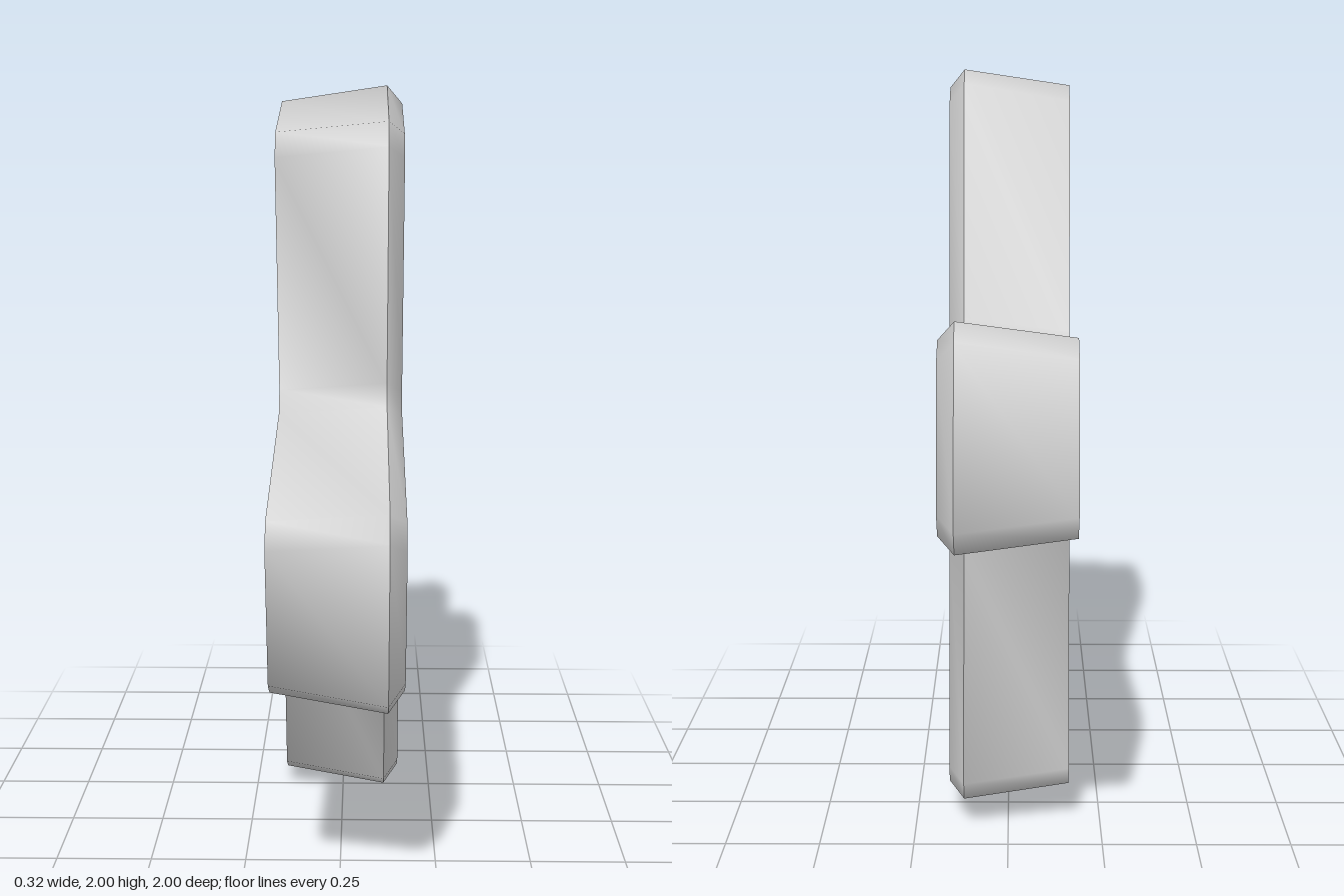
import * as THREE from 'three';
import { toCreasedNormals } from 'three/addons/utils/BufferGeometryUtils.js';

const TILT = THREE.MathUtils.degToRad(12.5);

// Tilted plus-shaped outline, shrunk by d, counter-clockwise seen from +x (across = -z, up = y)
function outline(d) {
  const w = 0.262 - d, l = 0.978 - d, c = 0.05, k = 0.048;
  const arm = [[w, w + k], [w, l - c], [w - c, l], [c - w, l], [-w, l - c], [-w, w + k]];
  const points = [];
  for (let i = 0; i < 4; i++) {
    for (const [s, t] of arm) {
      points.push(new THREE.Vector2(s, t).rotateAround(new THREE.Vector2(), TILT + i * Math.PI / 2));
    }
  }
  return points;
}

// Joins rings of outlines along x and closes both ends
function loftCross(sections) {
  const rings = sections.map(([, d]) => outline(d));
  const n = rings[0].length;
  const positions = [], index = [];
  rings.forEach((ring, i) => {
    for (const p of ring) positions.push(sections[i][0], p.y + 1, -p.x);
  });
  for (let i = 0; i < rings.length - 1; i++) {
    for (let j = 0; j < n; j++) {
      const a = i * n + j, b = i * n + (j + 1) % n;
      index.push(a, b, b + n, a, b + n, a + n);
    }
  }
  const last = (rings.length - 1) * n;
  for (const [a, b, c] of THREE.ShapeUtils.triangulateShape(rings[0], [])) index.push(a, c, b);
  for (const [a, b, c] of THREE.ShapeUtils.triangulateShape(rings[rings.length - 1], [])) {
    index.push(last + a, last + b, last + c);
  }
  const geometry = new THREE.BufferGeometry();
  geometry.setAttribute('position', new THREE.Float32BufferAttribute(positions, 3));
  geometry.setIndex(index);
  return toCreasedNormals(geometry, 0.9);
}

export function createModel() {
  const group = new THREE.Group();
  group.name = 'tiltedCross';

  // Shallow inset back, tapered side walls, bevelled face: [x, inset]
  const cross = new THREE.Mesh(
    loftCross([[-0.15, 0.075], [-0.163, 0.035], [0.118, 0], [0.158, 0.04]]),
    new THREE.MeshStandardMaterial({ color: 0xcccccc })
  );
  cross.name = 'crossBody';
  group.add(cross);
  return group;
}
